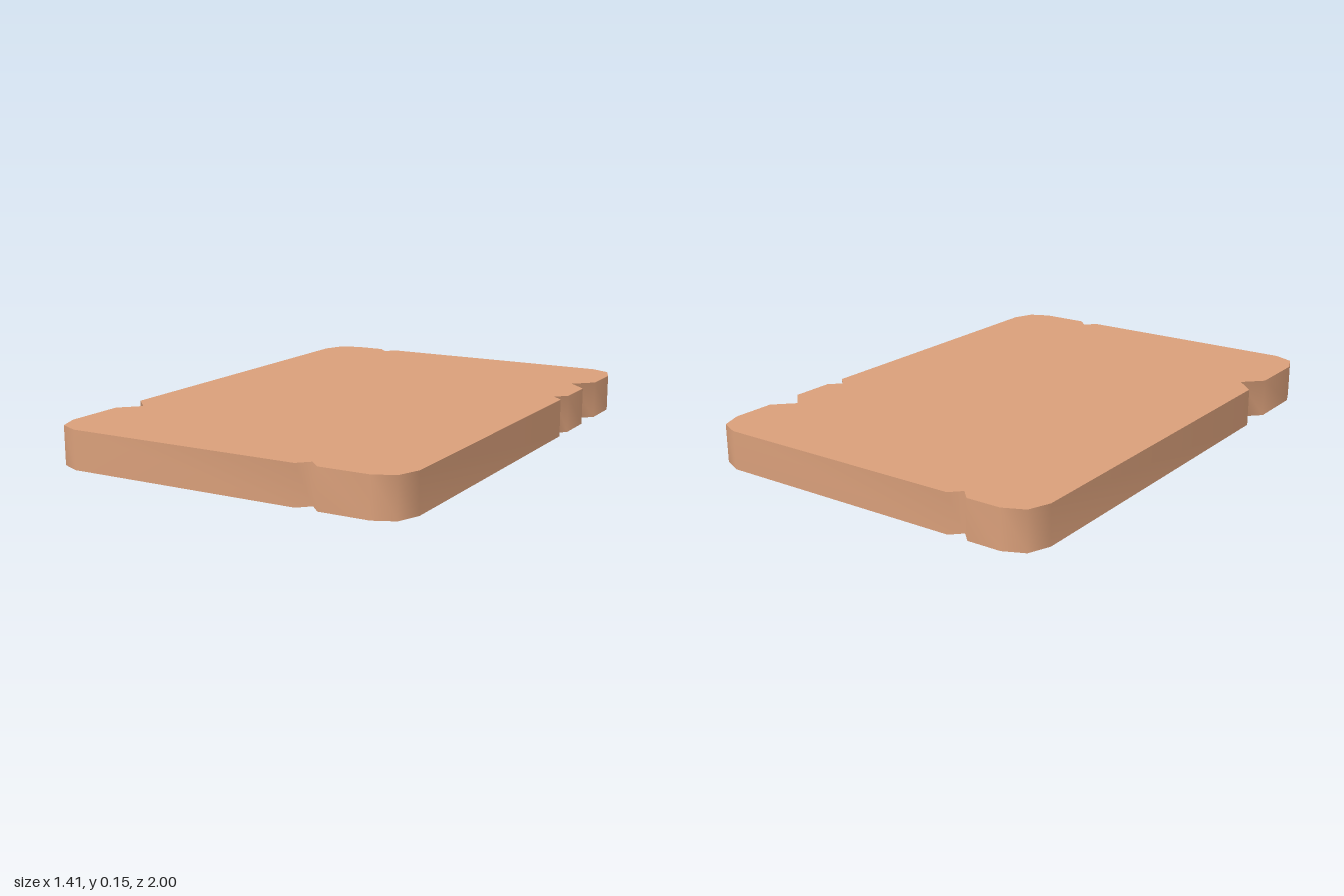
import * as THREE from 'three';
import { toCreasedNormals } from 'three/addons/utils/BufferGeometryUtils.js';

const W = 0.705, L = 1, HEIGHT = 0.147;

// Chamfered corner in two steps, as (x, z) points from the short edge to the long edge
const corner = (sx, sz) => [[sx * 0.595, sz * L], [sx * 0.673, sz * 0.965], [sx * W, sz * 0.883]];

// V-shaped nicks; dir is the direction of travel along the edge
const nickX = (z, x, r, dir) => [[x - dir * r, z], [x, z - Math.sign(z) * r], [x + dir * r, z]];
const nickZ = (x, z, r, dir) => [[x, z - dir * r], [x - Math.sign(x) * r, z], [x, z + dir * r]];

// Copies one vertex range of a non-indexed geometry into its own geometry
function slice(geometry, { start, count }) {
  const part = new THREE.BufferGeometry();
  const positions = geometry.attributes.position.array.slice(start * 3, (start + count) * 3);
  part.setAttribute('position', new THREE.BufferAttribute(positions, 3));
  part.computeVertexNormals();
  return part;
}

export function createModel() {
  const group = new THREE.Group();
  group.name = 'nickedSlab';
  const wood = new THREE.MeshStandardMaterial({ color: 0xd99f7a });
  wood.name = 'lightWood';

  // Outline seen from above, counterclockwise
  const outline = [
    ...nickX(L, 0.363, 0.042, 1),
    ...corner(1, 1),
    ...nickZ(W, -0.362, 0.042, -1),
    ...nickZ(W, -0.643, 0.073, -1),
    ...corner(1, -1).reverse(),
    ...nickX(-L, -0.425, 0.04, -1),
    ...corner(-1, -1),
    ...nickZ(-W, 0.576, 0.072, 1),
    ...corner(-1, 1).reverse(),
  ];
  const shape = new THREE.Shape(outline.map(([x, z]) => new THREE.Vector2(x, -z)));
  const slab = new THREE.ExtrudeGeometry(shape, { depth: HEIGHT, bevelEnabled: false });
  slab.rotateX(-Math.PI / 2);

  // Flat top and bottom, with a rim shaded smoothly all round
  const faces = new THREE.Mesh(slice(slab, slab.groups[0]), wood);
  faces.name = 'topAndBottom';
  const rim = new THREE.Mesh(toCreasedNormals(slice(slab, slab.groups[1]), Math.PI), wood);
  rim.name = 'rim';
  group.add(faces, rim);
  return group;
}
